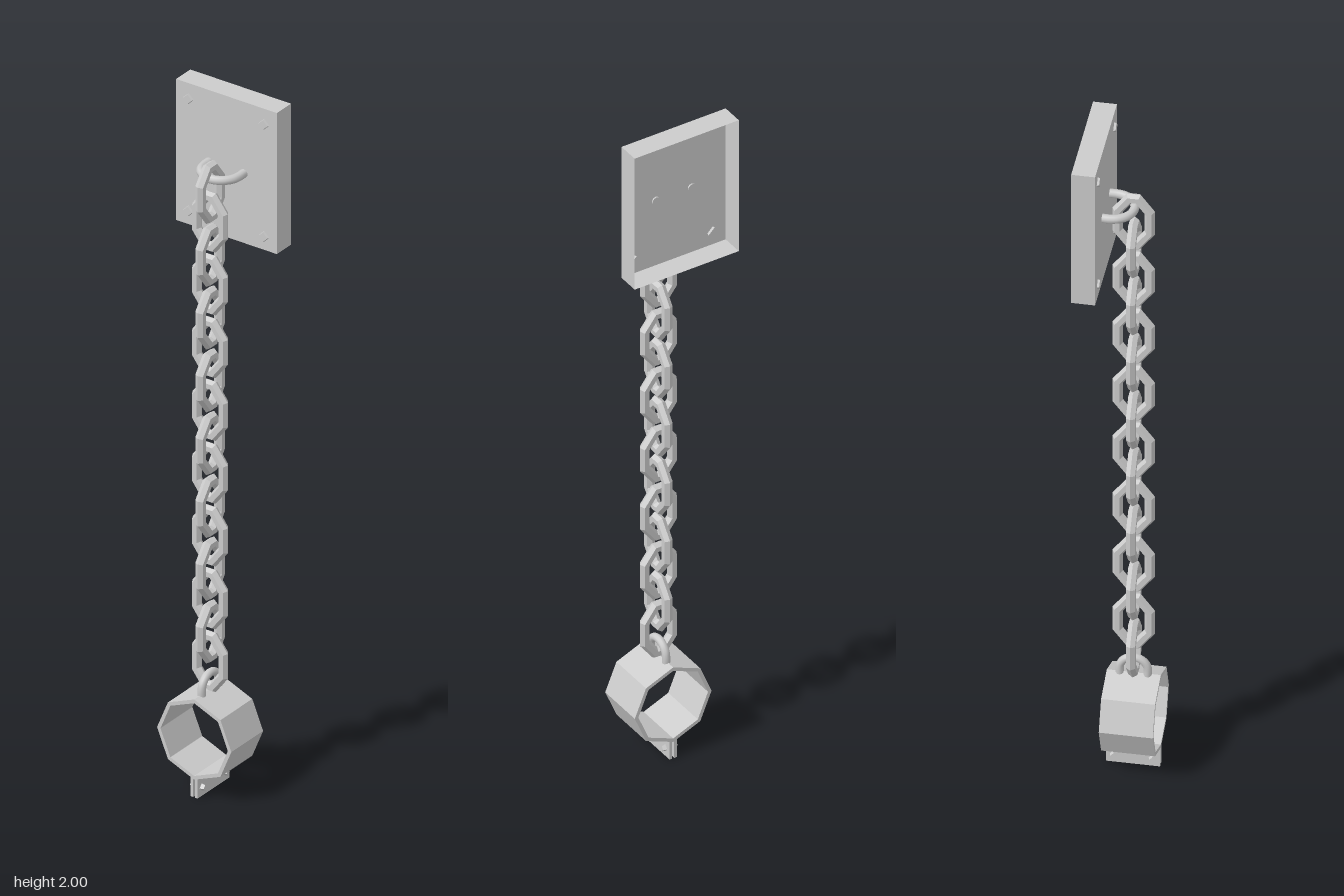
import * as THREE from 'three';

const flat = new THREE.MeshStandardMaterial({ color: 0xcccccc, flatShading: true });
const flatDouble = new THREE.MeshStandardMaterial({ color: 0xcccccc, flatShading: true, side: THREE.DoubleSide });
const smooth = new THREE.MeshStandardMaterial({ color: 0xcccccc });

const CHAIN_Z = 0.031;

// Closed wire with mitred corners, swept along a counterclockwise polygon in the xy plane
function wireLoop(points, radius, sides) {
  const n = points.length, pos = [], index = [];
  points.forEach((p, i) => {
    const a = p.clone().sub(points[(i + n - 1) % n]).normalize();
    const b = points[(i + 1) % n].clone().sub(p).normalize();
    const t = a.clone().add(b).normalize();
    const mitre = 1 / t.dot(a);
    for (let j = 0; j < sides; j++) {
      const phi = (j / sides) * Math.PI * 2;
      const r = radius * Math.cos(phi) * mitre;
      pos.push(p.x + t.y * r, p.y - t.x * r, radius * Math.sin(phi));
      const i2 = (i + 1) % n, j2 = (j + 1) % sides;
      const A = i * sides + j, B = i2 * sides + j, C = i2 * sides + j2, D = i * sides + j2;
      index.push(A, B, C, A, C, D);
    }
  });
  const g = new THREE.BufferGeometry();
  g.setAttribute('position', new THREE.Float32BufferAttribute(pos, 3));
  g.setIndex(index);
  g.computeVertexNormals();
  return g;
}

// Round U-shaped bar: legs along -y, arch on top
function uBar(halfWidth, leg, radius) {
  const pts = [new THREE.Vector3(halfWidth, -leg, 0), new THREE.Vector3(halfWidth, -leg / 2, 0)];
  for (let i = 0; i <= 8; i++) {
    const a = (i / 8) * Math.PI;
    pts.push(new THREE.Vector3(halfWidth * Math.cos(a), halfWidth * Math.sin(a), 0));
  }
  pts.push(new THREE.Vector3(-halfWidth, -leg / 2, 0), new THREE.Vector3(-halfWidth, -leg, 0));
  return new THREE.TubeGeometry(new THREE.CatmullRomCurve3(pts), 32, radius, 10);
}

function octagon(radius, target) {
  for (let i = 0; i < 8; i++) {
    const a = (i / 8) * Math.PI * 2;
    const p = [radius * Math.cos(a), radius * Math.sin(a)];
    if (i) target.lineTo(...p); else target.moveTo(...p);
  }
  target.closePath();
  return target;
}

export function createModel() {
  const model = new THREE.Group();
  const add = (parent, name, geometry, material, x = 0, y = 0, z = 0) => {
    const m = new THREE.Mesh(geometry, material);
    m.name = name;
    m.position.set(x, y, z);
    parent.add(m);
    return m;
  };
  const group = (name) => {
    const g = new THREE.Group();
    g.name = name;
    model.add(g);
    return g;
  };

  // Wall plate: a shallow tray, open at the back
  const wall = group('wallMount');
  const tray = new THREE.BoxGeometry(0.32, 0.415, 0.063);
  tray.setIndex(Array.from(tray.index.array).slice(0, 30));
  tray.clearGroups();
  add(wall, 'wallPlate', tray, flatDouble, 0, 1.7925, -0.0735);

  // Four-sided bolt heads at the plate corners
  const head = new THREE.CylinderGeometry(0.014, 0.019, 0.016, 4);
  for (const x of [-0.12, 0.12]) {
    for (const y of [1.625, 1.955]) {
      add(wall, 'plateBolt', head, flat, x, y, -0.044).rotation.x = Math.PI / 2;
    }
  }

  // Staple holding the first link
  add(wall, 'staple', uBar(0.055, 0.024, 0.012), smooth, 0, 1.79, -0.022).rotation.x = Math.PI / 2;

  // Chain: sixteen links, each turned a quarter from the last
  const chain = group('chain');
  const linkPoints = [
    [0.042, -0.032], [0.042, 0.032], [0.011, 0.073], [-0.011, 0.073],
    [-0.042, 0.032], [-0.042, -0.032], [-0.011, -0.073], [0.011, -0.073],
  ].map(([x, y]) => new THREE.Vector2(x, y));
  const link = wireLoop(linkPoints, 0.014, 6);
  for (let i = 0; i < 8; i++) {
    add(chain, 'sideLink', link, flat, 0, 1.75 - i * 0.1847, CHAIN_Z).rotation.y = Math.PI / 2;
    add(chain, 'frontLink', link, flat, 0, 1.664 - i * 0.1847, CHAIN_Z);
  }

  // Cuff: eight-sided band
  const cuff = group('cuff');
  const ring = octagon(0.118, new THREE.Shape());
  ring.holes.push(octagon(0.107, new THREE.Path()));
  const band = new THREE.ExtrudeGeometry(ring, { depth: 0.142, bevelEnabled: false });
  add(cuff, 'cuffBand', band, flat, 0, 0.17, -0.04);
  add(cuff, 'cuffLoop', uBar(0.037, 0.03, 0.011), smooth, 0, 0.3, CHAIN_Z).rotation.y = Math.PI / 2;

  // Clamping flanges below the band, joined by two bolts
  for (const side of [-1, 1]) {
    add(cuff, 'cuffFlange', new THREE.BoxGeometry(0.008, 0.06, 0.142), flat, side * 0.007, 0.03, 0.031);
    for (const z of [-0.019, 0.083]) {
      const bolt = new THREE.CylinderGeometry(0.008, 0.011, 0.012, 4);
      add(cuff, 'cuffBolt', bolt, flat, side * 0.016, 0.026, z).rotation.z = -side * Math.PI / 2;
    }
  }
  for (const z of [-0.019, 0.083]) {
    const pin = new THREE.CylinderGeometry(0.006, 0.006, 0.02, 6);
    add(cuff, 'cuffPin', pin, flat, 0, 0.026, z).rotation.z = Math.PI / 2;
  }

  return model;
}
